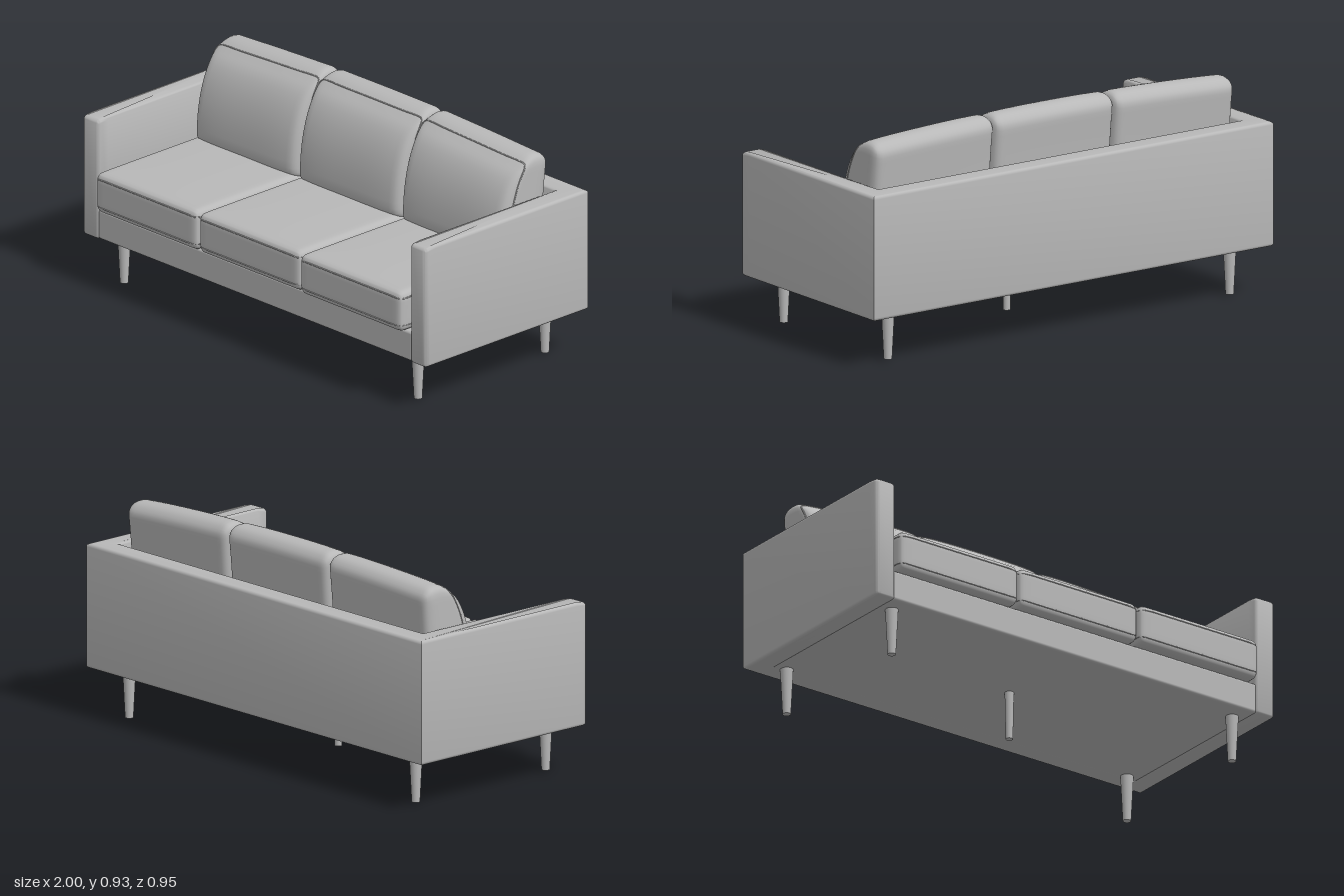
import * as THREE from 'three';
import { mergeVertices, toCreasedNormals } from 'three/addons/utils/BufferGeometryUtils.js';
import { RoundedBoxGeometry } from 'three/addons/geometries/RoundedBoxGeometry.js';

const grey = new THREE.MeshStandardMaterial({ color: 0xb8b8b8 });
grey.name = 'soft grey';

function add(parent, name, geometry, x = 0, y = 0, z = 0) {
  const mesh = new THREE.Mesh(geometry, grey);
  mesh.name = name;
  mesh.position.set(x, y, z);
  parent.add(mesh);
}

// Rounds a point on a box of the given size, with a separate radius per axis
function roundPoint(p, size, radius) {
  const inner = size.clone().multiplyScalar(0.5).sub(radius);
  const core = p.clone().clamp(inner.clone().negate(), inner);
  const out = p.clone().sub(core).divide(radius).normalize().multiply(radius);
  return core.add(out);
}

// Cushion: rounded box bent by a rule, with piping along chosen loops
function cushion(parent, name, size, radius, bend, loops) {
  const group = new THREE.Group();
  group.name = name;
  parent.add(group);
  const surface = (p) => bend(roundPoint(p, size, radius));

  const geo = new THREE.BoxGeometry(2, 2, 2, 26, 18, 18);
  geo.deleteAttribute('uv');
  geo.deleteAttribute('normal');
  const body = mergeVertices(geo, 1e-4);
  const pos = body.attributes.position;
  const ease = (t) => 0.5 * Math.sin(t * Math.PI / 2); // finer cells near the edges
  for (let i = 0; i < pos.count; i++) {
    const p = new THREE.Vector3(ease(pos.getX(i)), ease(pos.getY(i)), ease(pos.getZ(i))).multiply(size);
    const s = surface(p);
    pos.setXYZ(i, s.x, s.y, s.z);
  }
  body.computeVertexNormals();
  add(group, 'cushionBody', body);

  for (const loop of loops) {
    const points = [];
    for (let i = 0; i < 64; i++) {
      const a = (i / 64) * Math.PI * 2;
      const k = 0.5 / Math.max(Math.abs(Math.cos(a)), Math.abs(Math.sin(a)));
      points.push(surface(loop(k * Math.cos(a), k * Math.sin(a)).multiply(size)));
    }
    const path = new THREE.CatmullRomCurve3(points, true);
    add(group, 'piping', new THREE.TubeGeometry(path, 128, 0.003, 6, true));
  }
}

// Arms and back as one U-shaped shell with softened edges (plan drawn with front at -y)
function shellGeometry() {
  const r = 0.022, xo = 1, xi = 0.905, front = -0.435, bend = -0.38, inner = 0.378, back = 0.475, b = 0.014;
  const s = new THREE.Shape();
  s.moveTo(-xo, back);
  s.lineTo(-xo, bend);
  s.lineTo(-xo, front + r);
  s.quadraticCurveTo(-xo, front, -xo + r, front);
  s.lineTo(-xi - r, front);
  s.quadraticCurveTo(-xi, front, -xi, front + r);
  s.lineTo(-xi, bend);
  s.lineTo(-xi, inner);
  s.lineTo(xi, inner);
  s.lineTo(xi, bend);
  s.lineTo(xi, front + r);
  s.quadraticCurveTo(xi, front, xi + r, front);
  s.lineTo(xo - r, front);
  s.quadraticCurveTo(xo, front, xo, front + r);
  s.lineTo(xo, bend);
  s.lineTo(xo, back);
  s.closePath();
  const geo = new THREE.ExtrudeGeometry(s, {
    depth: 0.522 - 2 * b, bevelEnabled: true, bevelThickness: b, bevelSize: b,
    bevelOffset: -b, bevelSegments: 4, curveSegments: 6,
  });
  geo.rotateX(-Math.PI / 2);
  geo.translate(0, 0.205 + b, 0);
  // Ease the top front corner of the arms downwards
  const p = geo.attributes.position;
  for (let i = 0; i < p.count; i++) {
    if (p.getY(i) > 0.6 && p.getZ(i) > 0.381) {
      p.setY(i, p.getY(i) - 0.01 * ((p.getZ(i) - 0.38) / 0.055) ** 2);
    }
  }
  geo.deleteAttribute('uv');
  geo.deleteAttribute('normal');
  return toCreasedNormals(geo, 0.6);
}

export function createModel() {
  const sofa = new THREE.Group();
  sofa.name = 'sofa';

  add(sofa, 'armsAndBack', shellGeometry());
  add(sofa, 'seatBase', new RoundedBoxGeometry(1.83, 0.129, 0.85, 3, 0.012), 0, 0.2705, 0.003);

  for (let i = -1; i <= 1; i++) {
    const cx = i * 0.599 - 0.003;

    // Seat cushion, slightly crowned on top
    const seat = new THREE.Vector3(0.596, 0.175, 0.82);
    const zFront = i === 1 ? 0.472 : 0.462;
    cushion(sofa, 'seatCushion', seat, new THREE.Vector3(0.03, 0.035, 0.03), (p) => {
      const u = p.x / seat.x * 2, w = p.z / seat.z * 2;
      const crown = p.y > 0 ? 0.006 * (1 - u * u) * (1 - w ** 4) : 0;
      return new THREE.Vector3(p.x + cx, p.y + 0.422 + crown, p.z + zFront - seat.z / 2);
    }, [
      (a, b) => new THREE.Vector3(a, 0.36, b),
      (a, b) => new THREE.Vector3(a, -0.34, b),
    ]);

    // Back cushion, its front leaning back towards a rounded top
    const size = new THREE.Vector3(0.6, 0.44, 0.26);
    const bx = i * 0.6;
    cushion(sofa, 'backCushion', size, new THREE.Vector3(0.035, 0.045, 0.065), (p) => {
      const u = p.x / size.x * 2, t = p.y / size.y + 0.5, w = p.z / size.z + 0.5;
      const x = p.x + bx;
      const frontZ = -0.075 - 0.12 * t ** 2.6 - 0.015 * u ** 4;
      const backZ = -0.325 - 0.035 * t;
      const y = 0.485 + t * (0.443 - 0.028 * (x / 0.9) ** 2) - 0.035 * t ** 6 * (2 * w - 0.9) ** 2;
      return new THREE.Vector3(x, y, backZ + (frontZ - backZ) * w);
    }, [(a, b) => new THREE.Vector3(a, b, 0.34)]);
  }

  // Tapered legs at the corners and one under the middle
  for (const x of [-0.855, 0.855]) {
    for (const z of [0.338, -0.373]) {
      add(sofa, 'cornerLeg', new THREE.CylinderGeometry(0.027, 0.017, 0.2, 24), x, 0.108, z);
    }
  }
  add(sofa, 'middleLeg', new THREE.CylinderGeometry(0.019, 0.015, 0.21, 24), -0.002, 0.105, -0.015);

  return sofa;
}
